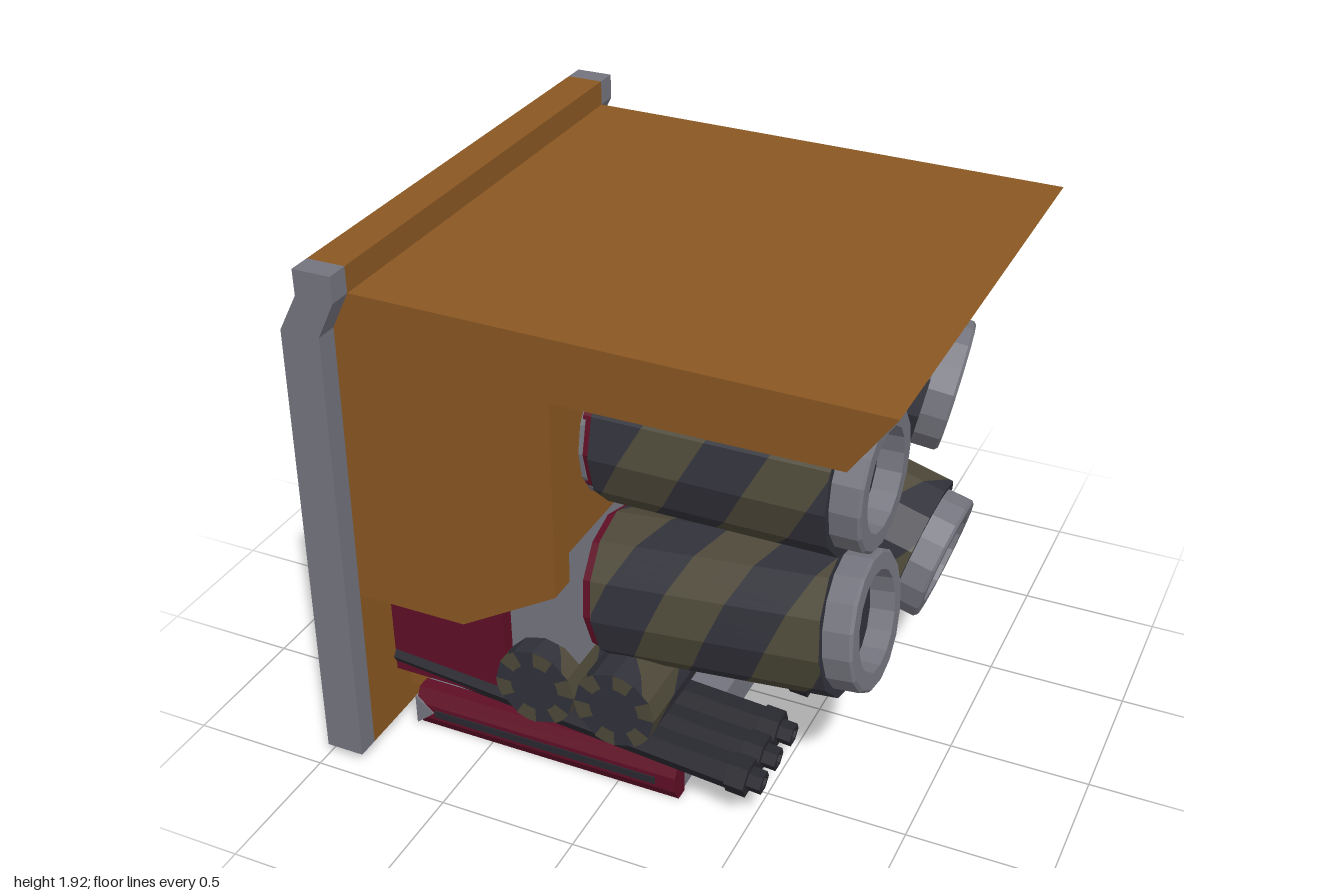
import * as THREE from 'three';
import { mergeGeometries } from 'three/addons/utils/BufferGeometryUtils.js';

const paint = (name, color) => {
  const m = new THREE.MeshStandardMaterial({ color });
  m.name = name;
  return m;
};

export function createModel() {
  const model = new THREE.Group();
  model.name = 'launcherPod';
  const orange = paint('ochre armour', 0x8a5722);
  const grey = paint('steel grey', 0x74747e);
  const red = paint('dark red', 0x5e0e25);
  const slate = paint('dark slate', 0x31313a);
  const olive = paint('olive stripe', 0x4d4838);
  const black = paint('gunmetal', 0x28282f);

  // Faceted mesh helper
  const add = (name, geometry, material, parent = model) => {
    const g = geometry.index ? geometry.toNonIndexed() : geometry;
    g.computeVertexNormals();
    const mesh = new THREE.Mesh(g, material);
    mesh.name = name;
    parent.add(mesh);
    return mesh;
  };
  // Box from its limits
  const box = (name, x0, x1, y0, y1, z0, z1, material) => {
    const g = new THREE.BoxGeometry(x1 - x0, y1 - y0, z1 - z0);
    g.translate((x0 + x1) / 2, (y0 + y1) / 2, (z0 + z1) / 2);
    return add(name, g, material);
  };
  // Side outline (x, y) extruded between two z values
  const slab = (name, points, z0, z1, material) => {
    const shape = new THREE.Shape(points.map(([x, y]) => new THREE.Vector2(x, y)));
    const g = new THREE.ExtrudeGeometry(shape, { depth: z1 - z0, bevelEnabled: false });
    g.translate(0, 0, z0);
    return add(name, g, material);
  };
  // Turned part along +x from (x, radius) points
  const turned = (name, points, sides, material, parent) => {
    const g = new THREE.LatheGeometry(points.map(([x, r]) => new THREE.Vector2(r, x)), sides);
    g.rotateZ(-Math.PI / 2);
    return add(name, g, material, parent);
  };

  // Faceted tube along +x wrapped in spiral bands of two colours
  const stripedTube = (name, radius, length, period, sides, phase, parent) => {
    const sub = 5, lists = [[], []];
    const corner = (k) => {
      const a = (k / sides) * Math.PI * 2;
      return [radius * Math.cos(a), radius * Math.sin(a)];
    };
    const clamp = (x) => Math.min(length, Math.max(0, x));
    for (let k = 0; k < sides; k++) {
      const [p, q] = [corner(k), corner(k + 1)];
      for (let s = 0; s < sub; s++) {
        const [t0, t1] = [s / sub, (s + 1) / sub];
        const at = (t) => [p[0] + (q[0] - p[0]) * t, p[1] + (q[1] - p[1]) * t];
        const [a, b] = [at(t0), at(t1)];
        const shift = (t) => phase - (2 * period * (k + t)) / sides;
        const last = Math.ceil((length + 3 * period) / (period / 2));
        for (let i = -4; i <= last; i++) {
          const edge = (n, t) => clamp((n * period) / 2 + shift(t));
          const [x0, x1, x2, x3] = [edge(i, t0), edge(i, t1), edge(i + 1, t1), edge(i + 1, t0)];
          if (x2 - x1 + x3 - x0 < 1e-6) continue;
          const [A, B, C, D] = [[x0, ...a], [x1, ...b], [x2, ...b], [x3, ...a]];
          lists[Math.abs(i) % 2].push(...A, ...B, ...C, ...A, ...C, ...D);
        }
      }
    }
    lists.forEach((list, i) => {
      const g = new THREE.BufferGeometry();
      g.setAttribute('position', new THREE.Float32BufferAttribute(list, 3));
      add(name + (i ? 'OliveBands' : 'SlateBands'), g, i ? olive : slate, parent);
    });
  };

  // Back wall with grey end rails
  const wall = [[-1, 0.04], [-0.86, 0.04], [-0.835, 1.7], [-0.77, 1.83], [-0.77, 1.92],
    [-0.905, 1.92], [-0.905, 1.83], [-0.975, 1.7]];
  slab('backWall', wall, -0.86, 0.86, orange);
  slab('leftRail', wall, 0.86, 0.94, grey);
  slab('rightRail', wall, -0.94, -0.86, grey);
  box('wallFoot', -0.88, -0.78, 0.12, 0.26, -0.6, 0.6, orange);

  // Hood, cheeks, inner housing and divider
  slab('hood', [[-0.84, 1.605], [0.85, 1.605], [0.995, 1.81], [-0.78, 1.83], [-0.84, 1.7]], -0.86, 0.86, orange);
  const cheek = [[-0.85, 0.68], [-0.45, 0.68], [-0.1, 0.89], [-0.09, 1.605], [-0.84, 1.605]];
  slab('leftCheek', cheek, 0.76, 0.86, orange);
  slab('rightCheek', cheek, -0.86, -0.76, orange);
  slab('innerHousing', [[-0.84, 0.97], [-0.4, 0.97], [-0.1, 1.0], [-0.1, 1.605], [-0.84, 1.605]], -0.76, 0.76, orange);
  box('divider', -0.4, -0.07, 0.4, 1.605, -0.035, 0.035, orange);

  // Lower mount block
  box('mountBlock', -0.85, -0.4, 0.25, 0.97, -0.69, 0.69, red);
  slab('mountWedge', [[-0.4, 0.3], [-0.14, 0.46], [-0.2, 0.97], [-0.4, 0.97]], -0.64, 0.64, grey);

  // Launch tubes, each aimed from its base to its muzzle
  const launchTube = (name, base, muzzle, phase) => {
    const tube = new THREE.Group();
    tube.name = name;
    const from = new THREE.Vector3(...base);
    const dir = new THREE.Vector3(...muzzle).sub(from);
    const len = dir.length(), body = len - 0.1;
    tube.position.copy(from);
    tube.quaternion.setFromUnitVectors(new THREE.Vector3(1, 0, 0), dir.normalize());
    turned('baseRing', [[-0.035, 0], [-0.035, 0.25], [0, 0.25]], 12, red, tube);
    stripedTube('tube', 0.268, body, 0.42, 12, phase, tube);
    turned('tubeBack', [[0, 0], [0, 0.268]], 12, slate, tube);
    turned('tubeLip', [[body, 0.268], [body, 0.2]], 12, slate, tube);
    turned('muzzleRim', [[body, 0.238], [len - 0.01, 0.238], [len, 0.228], [len, 0.172], [len - 0.09, 0.168]], 16, grey, tube);
    turned('bore', [[len - 0.085, 0.17], [len - 0.085, 0]], 16, slate, tube);
    model.add(tube);
  };
  launchTube('upperLeftTube', [-0.06, 1.32, 0.42], [0.83, 1.32, 0.42], 0.1);
  launchTube('lowerLeftTube', [-0.07, 0.69, 0.42], [0.83, 0.785, 0.42], 0.2);
  launchTube('upperRightTube', [-0.05, 1.33, -0.36], [0.77, 1.15, -0.52], 0.05);
  launchTube('lowerRightTube', [-0.06, 0.74, -0.425], [0.81, 0.49, -0.42], 0.3);

  // Round pivot plates behind the upper tubes
  for (const z of [0.42, -0.31]) {
    turned('pivotPlate', [[-0.12, 0], [-0.12, 0.25], [-0.085, 0.25], [-0.085, 0]], 16, grey).position.set(0, 1.32, z);
  }

  // Striped drums lying across the pod
  for (const x of [-0.27, 0.03]) {
    const drum = new THREE.Group();
    drum.name = 'drum';
    drum.position.set(x, 0.38, 0);
    const body = new THREE.Group();
    body.name = 'drumBody';
    body.rotation.y = -Math.PI / 2;
    body.position.z = -0.73;
    stripedTube('drum', 0.148, 1.46, 0.6, 12, 0.1, body);
    drum.add(body);
    for (const turn of [0, Math.PI]) {
      const end = new THREE.Group();
      end.name = 'drumEnd';
      end.rotation.y = turn;
      add('drumCap', new THREE.CircleGeometry(0.148, 12), slate, end).position.z = 0.73;
      const wedges = [];
      for (let i = 0; i < 6; i++) {
        wedges.push(new THREE.RingGeometry(0.09, 0.148, 1, 1, (i * Math.PI) / 3, Math.PI / 6));
      }
      add('drumCapWedges', mergeGeometries(wedges), olive, end).position.z = 0.733;
      drum.add(end);
    }
    model.add(drum);
  }

  // Row of hexagonal gun barrels
  for (const z of [0.65, 0.52, 0.38, 0.07, -0.06, -0.2, -0.35, -0.67]) {
    const barrel = turned('gunBarrel', [[0, 0], [0, 0.055], [1.28, 0.062], [1.28, 0.07], [1.35, 0.07], [1.35, 0.042],
      [1.4, 0.042], [1.4, 0.025], [1.37, 0.02], [1.37, 0]], 6, black);
    barrel.position.set(-0.85, 0.31, z);
    barrel.rotation.z = -0.09;
  }

  // Base tray with bevelled red sides and a dark slot in each
  box('tray', -0.785, 0.225, 0.006, 0.155, -0.61, 0.61, grey);
  box('trayUnderside', -0.74, 0.2, 0, 0.006, -0.58, 0.58, slate);
  for (const side of [1, -1]) {
    const shape = new THREE.Shape([[0.6, 0], [0.65, 0], [0.68, 0.05], [0.68, 0.11], [0.65, 0.16], [0.6, 0.16]]
      .map(([z, y]) => new THREE.Vector2(-z, y)));
    const g = new THREE.ExtrudeGeometry(shape, { depth: 1.02, bevelEnabled: false });
    g.rotateY(Math.PI / 2);
    g.translate(-0.51, 0, 0);
    const holder = new THREE.Group();
    holder.name = side > 0 ? 'leftTraySide' : 'rightTraySide';
    holder.position.x = -0.28;
    holder.rotation.y = side > 0 ? 0 : Math.PI;
    add('trayRail', g, red, holder);
    add('traySlot', new THREE.BoxGeometry(0.87, 0.028, 0.008), black, holder).position.set(0, 0.08, 0.681);
    model.add(holder);
    // Grey notch at the back end of each rail
    const notch = new THREE.Shape([[-0.79, 0.02], [-0.72, 0.08], [-0.79, 0.14]].map(([x, y]) => new THREE.Vector2(x, y)));
    const plate = new THREE.ExtrudeGeometry(notch, { depth: 0.008, bevelEnabled: false });
    add('trayNotch', plate, grey).position.z = side > 0 ? 0.677 : -0.685;
  }
  return model;
}
